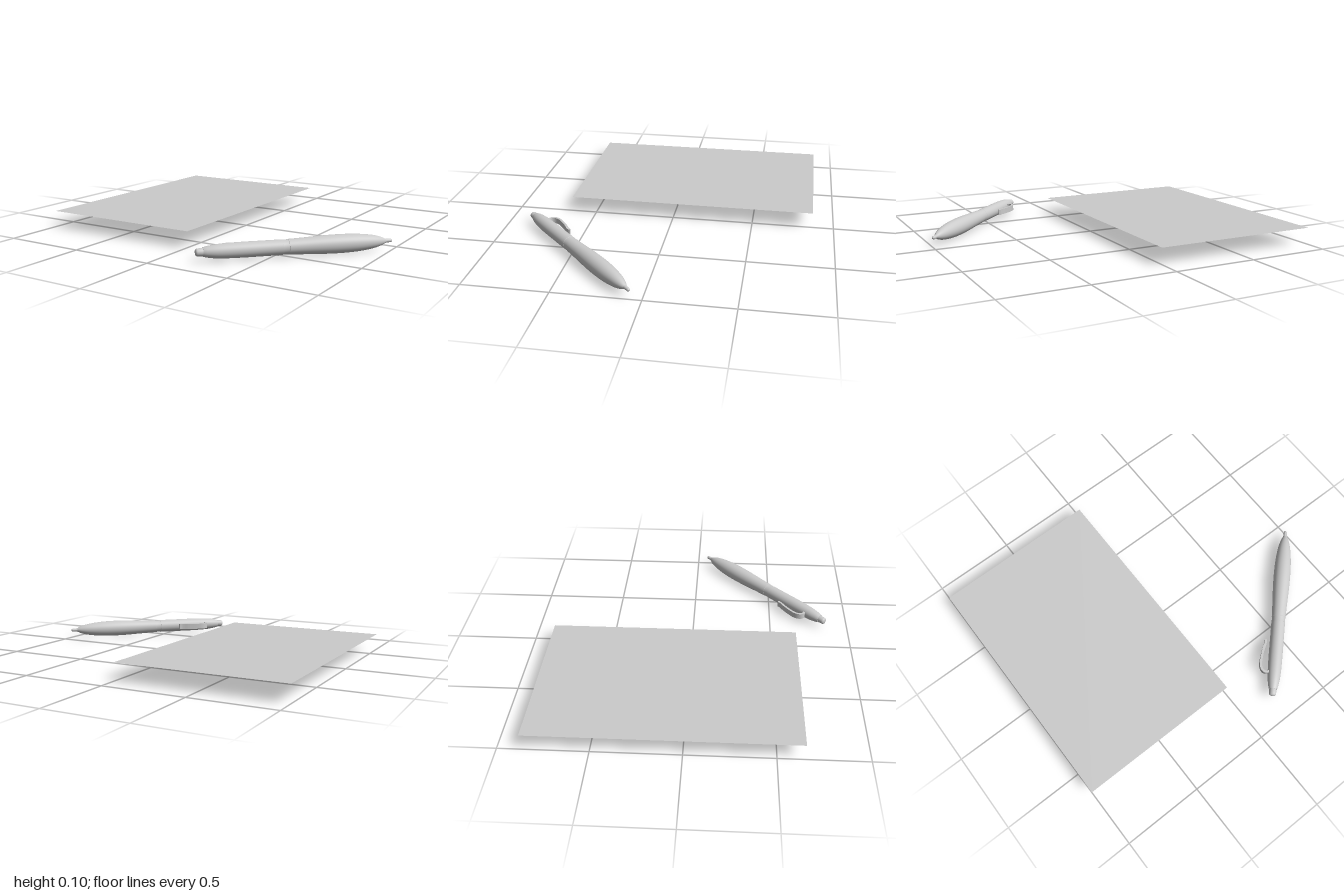
import * as THREE from 'three';

const material = new THREE.MeshStandardMaterial({ color: 0xcccccc });
const sheetMaterial = new THREE.MeshStandardMaterial({ color: 0xcccccc, side: THREE.DoubleSide });

const vectors = (pairs) => pairs.map(([x, y]) => new THREE.Vector2(x, y));

// Turned part along local +x; profile pairs are [radius, distance along the pen]
function turned(name, profile, smooth = 0) {
  let points = vectors(profile);
  if (smooth) points = new THREE.SplineCurve(points).getPoints(smooth);
  const geometry = new THREE.LatheGeometry(points, 40);
  geometry.rotateZ(-Math.PI / 2);
  const mesh = new THREE.Mesh(geometry, material);
  mesh.name = name;
  return mesh;
}

// Bent strip: a curve thickened to both sides, with a round end, extruded to its width
function makeClip() {
  const curve = new THREE.SplineCurve(vectors([
    [0.15, 0.025], [0.142, 0.055], [0.158, 0.078], [0.195, 0.088],
    [0.27, 0.081], [0.32, 0.07], [0.345, 0.069],
  ]));
  const half = 0.007, width = 0.036, steps = 28;
  const upper = [], lower = [];
  for (let i = 0; i <= steps; i++) {
    const p = curve.getPoint(i / steps);
    const t = curve.getTangent(i / steps);
    const n = new THREE.Vector2(-t.y, t.x).multiplyScalar(half);
    upper.push(p.clone().add(n));
    lower.push(p.clone().sub(n));
  }
  const end = curve.getPoint(1).add(curve.getTangent(1).multiplyScalar(half));
  const outline = new THREE.Shape([...lower, end, ...upper.reverse()]);
  const geometry = new THREE.ExtrudeGeometry(outline, { depth: width, bevelEnabled: false });
  geometry.translate(0, 0, -width / 2);
  geometry.rotateX(-Math.PI / 2);
  const mesh = new THREE.Mesh(geometry, material);
  mesh.name = 'clip';
  return mesh;
}

export function createModel() {
  const model = new THREE.Group();
  model.name = 'penAndPaper';

  // Sheet of paper, level with the top of the pen
  const paper = new THREE.Mesh(new THREE.PlaneGeometry(1.01, 1.52), sheetMaterial);
  paper.name = 'paper';
  paper.rotation.x = -Math.PI / 2;
  paper.position.set(-0.495, 0.1, -0.11);
  model.add(paper);

  // Pen, lying diagonally from push button to writing tip
  const pen = new THREE.Group();
  pen.name = 'pen';
  pen.add(
    turned('pushButton', [
      [0, 0], [0.012, 0.001], [0.019, 0.005], [0.0215, 0.012], [0.022, 0.03], [0.022, 0.06],
    ]),
    turned('upperBarrelEnd', [[0, 0.042], [0.025, 0.042]]),
    turned('upperBarrel', [
      [0.025, 0.042], [0.031, 0.065], [0.0375, 0.11], [0.041, 0.17], [0.0425, 0.25],
      [0.0425, 0.36], [0.0425, 0.475],
    ], 40),
    turned('middleRing', [[0.0425, 0.475], [0.0412, 0.476], [0.0412, 0.509], [0.043, 0.51]]),
    turned('lowerBarrel', [
      [0.043, 0.51], [0.046, 0.6], [0.0505, 0.7], [0.0525, 0.79], [0.0505, 0.88],
      [0.0445, 0.95], [0.036, 1.005], [0.025, 1.045], [0.0125, 1.073],
    ], 60),
    turned('tip', [
      [0.0125, 1.073], [0.0105, 1.08], [0.01, 1.105], [0.007, 1.112], [0, 1.115],
    ]),
    makeClip(),
  );
  pen.position.set(0.205, 0.053, 0.852);
  pen.rotation.y = Math.atan2(0.785, 0.79);
  model.add(pen);

  return model;
}
